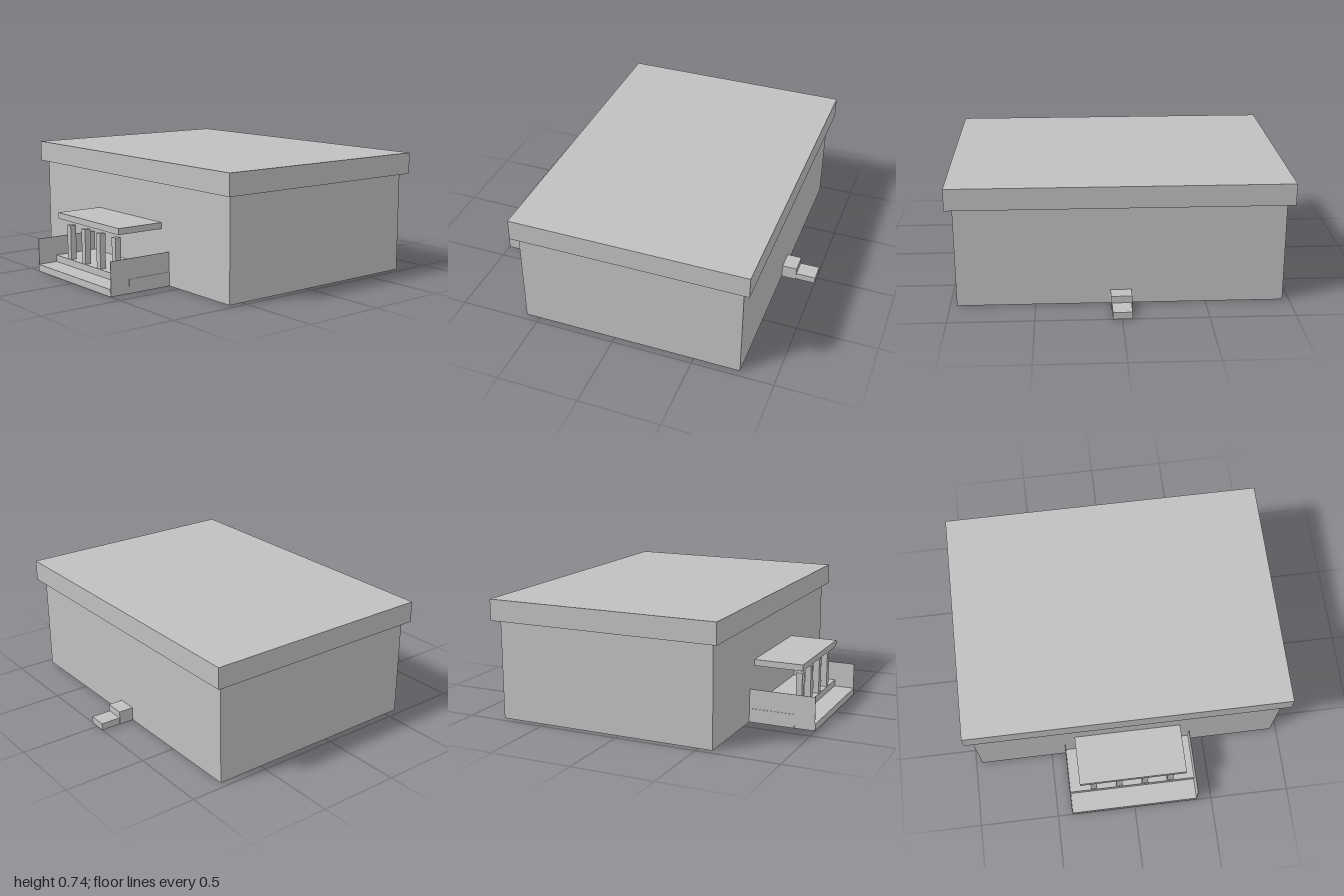
import * as THREE from 'three';

const stone = new THREE.MeshStandardMaterial({ color: 0xc0c0c0 });
stone.name = 'lightGrey';

// Box given by its lower and upper limits on each axis
function block(name, x0, x1, y0, y1, z0, z1) {
  const mesh = new THREE.Mesh(new THREE.BoxGeometry(x1 - x0, y1 - y0, z1 - z0), stone);
  mesh.position.set((x0 + x1) / 2, (y0 + y1) / 2, (z0 + z1) / 2);
  mesh.name = name;
  return mesh;
}

export function createModel() {
  const building = new THREE.Group();
  building.name = 'building';

  // Main hall and overhanging flat roof
  building.add(block('walls', -0.96, 0.96, 0, 0.61, -0.785, 0.588));
  building.add(block('roof', -1, 1, 0.61, 0.74, -0.827, 0.625));

  // Front porch: two steps, thin side walls, columns and canopy
  const porch = new THREE.Group();
  porch.name = 'porch';
  porch.add(block('lowerFrontStep', -0.403, 0.403, 0, 0.043, 0.588, 1));
  porch.add(block('upperFrontStep', -0.409, 0.409, 0, 0.085, 0.588, 0.872));
  for (const side of [-1, 1]) {
    const x = side * 0.404;
    porch.add(block(side > 0 ? 'leftSideWall' : 'rightSideWall', x - 0.002, x + 0.002, 0, 0.205, 0.588, 0.997));
  }
  for (const x of [-0.25, -0.085, 0.08, 0.245]) {
    porch.add(block('column', x - 0.02, x + 0.02, 0.085, 0.3, 0.83, 0.868));
  }
  porch.add(block('canopy', -0.336, 0.334, 0.332, 0.37, 0.588, 0.892));
  building.add(porch);

  // Small rear steps
  const rearSteps = new THREE.Group();
  rearSteps.name = 'rearSteps';
  rearSteps.add(block('upperRearStep', -0.063, 0.06, 0, 0.085, -0.877, -0.785));
  rearSteps.add(block('lowerRearStep', -0.058, 0.055, 0, 0.043, -1, -0.877));
  building.add(rearSteps);

  return building;
}
